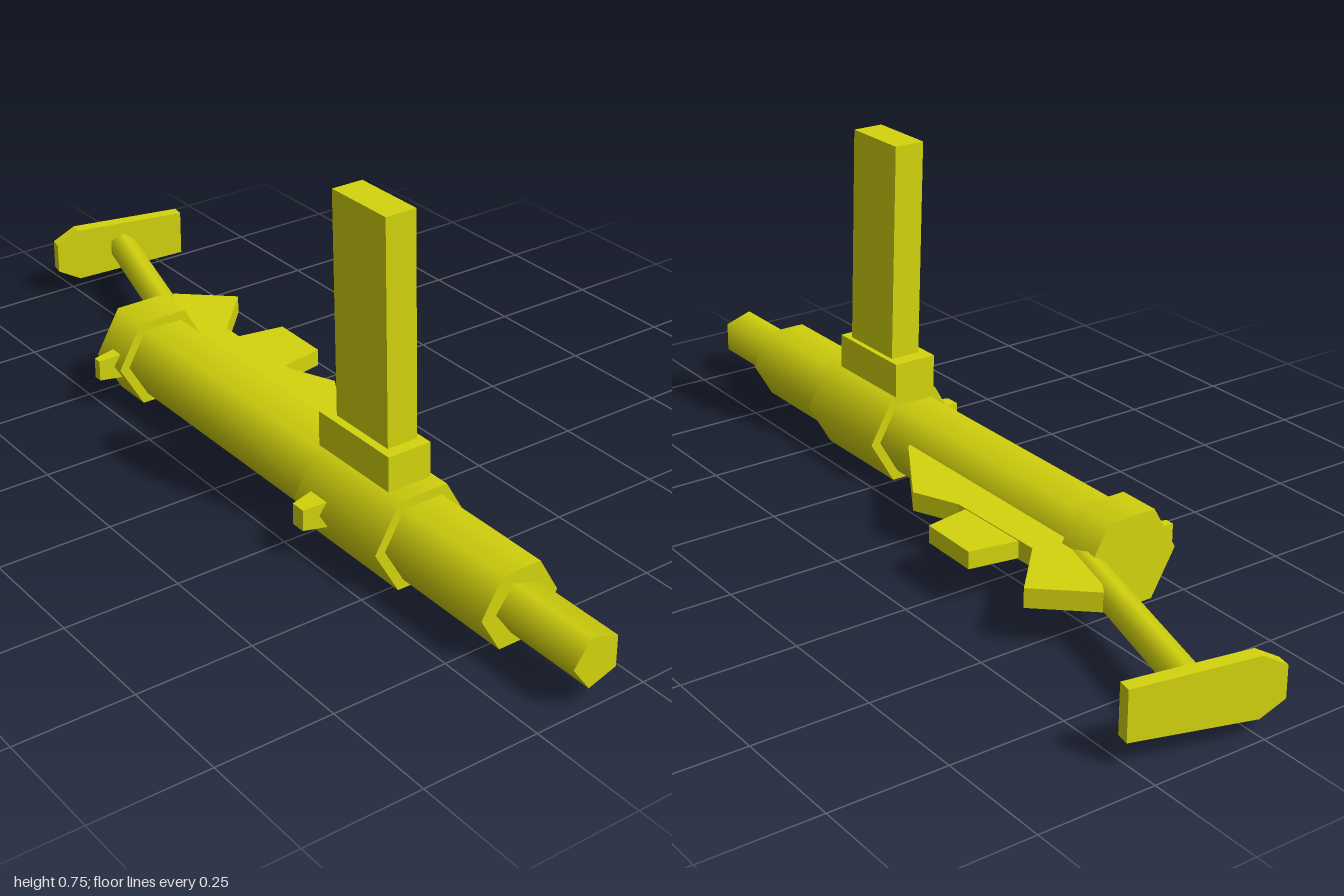
import * as THREE from 'three';

export function createModel() {
  const model = new THREE.Group();
  const smooth = new THREE.MeshStandardMaterial({ color: 0xd4d40e });
  smooth.name = 'yellow';
  const AXIS_Y = 0.101, AXIS_Z = 0.117;

  const add = (name, geometry) => {
    const mesh = new THREE.Mesh(geometry, smooth);
    mesh.name = name;
    model.add(mesh);
    return mesh;
  };

  // Few-sided tube along x with smooth sides and a corner toward +z
  const tube = (name, x0, x1, radius, sides = 6) => {
    const g = new THREE.CylinderGeometry(radius, radius, x1 - x0, sides);
    g.rotateZ(-Math.PI / 2);
    g.translate((x0 + x1) / 2, AXIS_Y, AXIS_Z);
    add(name, g);
  };
  tube('rearCollar', -0.49, -0.395, 0.113);
  tube('mainTube', -0.395, 0.255, 0.09);
  tube('frontCollar', 0.255, 0.515, 0.113);
  tube('frontTube', 0.515, 0.795, 0.09);
  tube('endTube', 0.795, 1.0, 0.056, 5);

  // Box whose vertices are moved by a rule
  const shapedBox = (name, w, h, d, rule) => {
    const g = new THREE.BoxGeometry(w, h, d);
    const p = g.attributes.position;
    const v = new THREE.Vector3();
    for (let i = 0; i < p.count; i++) {
      rule(v.fromBufferAttribute(p, i));
      p.setXYZ(i, v.x, v.y, v.z);
    }
    g.computeVertexNormals();
    return add(name, g);
  };

  // Upright block and its socket, leaning slightly toward +z
  shapedBox('socket', 0.22, 0.125, 0.1, (v) => { v.z += v.y * 0.02; })
    .position.set(0.366, 0.2125, 0.12);
  shapedBox('uprightBlock', 0.16, 0.493, 0.07, (v) => { v.z += v.y * 0.03; })
    .position.set(0.37, 0.507, 0.125);

  // Tapered pegs on the front side
  const peg = (name, x, width) => {
    shapedBox(name, width, 0.064, 0.09, (v) => {
      if (v.z > 0) { v.x *= 0.5; v.y *= 0.72; }
    }).position.set(x, 0.099, 0.22);
  };
  peg('rearPeg', -0.433, 0.04);
  peg('frontPeg', 0.316, 0.066);

  // Horizontal plate from an outline of [x, z] points
  const plate = (name, outline, y0, y1) => {
    const shape = new THREE.Shape(outline.map(([x, z]) => new THREE.Vector2(x, -z)));
    const g = new THREE.ExtrudeGeometry(shape, { depth: y1 - y0, bevelEnabled: false });
    g.rotateX(-Math.PI / 2);
    g.translate(0, y0, 0);
    add(name, g);
  };
  plate('gripPlate', [
    [0.16, 0.04], [0.15, 0.03], [-0.04, -0.088], [-0.14, -0.044], [-0.38, -0.04],
    [-0.5, -0.152], [-0.6, -0.04], [-0.48, 0.04],
  ], 0.088, 0.13);
  plate('middleTab', [
    [-0.16, -0.03], [-0.18, -0.146], [-0.318, -0.148], [-0.338, -0.03],
  ], 0.09, 0.128);

  // Slanted rod reaching back to the end plate
  const start = new THREE.Vector2(-0.95, -0.112), end = new THREE.Vector2(-0.4, 0.046);
  const rod = new THREE.CylinderGeometry(0.033, 0.033, start.distanceTo(end), 6);
  rod.rotateZ(-Math.PI / 2);
  rod.rotateX(Math.PI / 2);
  rod.rotateY(-Math.atan2(end.y - start.y, end.x - start.x));
  rod.translate((start.x + end.x) / 2, 0.107, (start.y + end.y) / 2);
  add('rod', rod);

  // End plate with one chamfered end
  const outline = new THREE.Shape([
    [-0.159, 0.06], [0.106, 0.041], [0.159, 0.07],
    [0.159, 0.138], [0.106, 0.168], [-0.159, 0.165],
  ].map(([u, y]) => new THREE.Vector2(u, y)));
  const endPlate = new THREE.ExtrudeGeometry(outline, { depth: 0.03, bevelEnabled: false });
  endPlate.translate(0, 0, -0.015);
  endPlate.rotateY(-Math.PI / 2 - 0.19);
  endPlate.translate(-0.955, 0, -0.106);
  add('endPlate', endPlate);

  return model;
}
